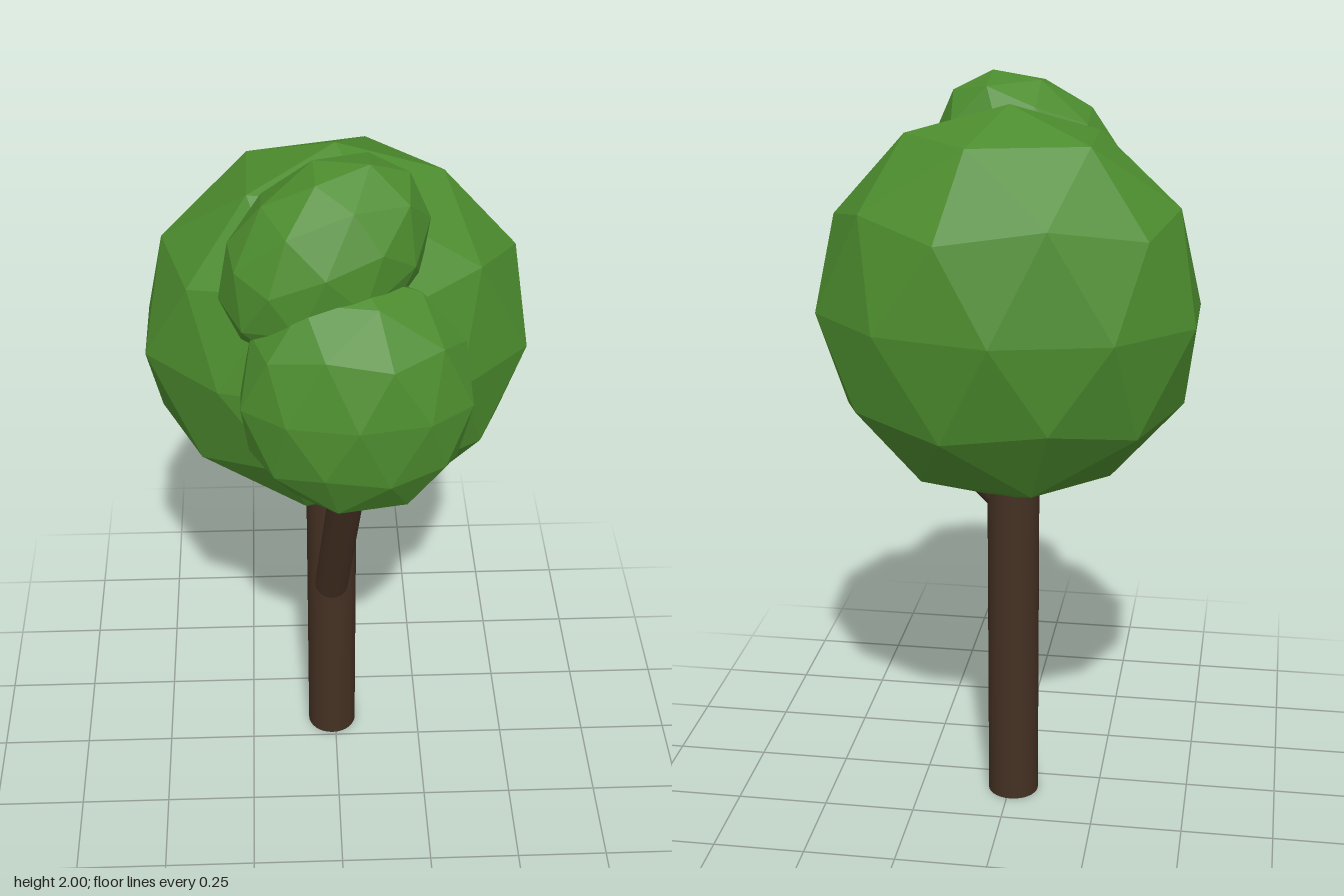
import * as THREE from 'three';

const leaf = new THREE.MeshStandardMaterial({ color: 0x4c8c2e, flatShading: true });
const bark = new THREE.MeshStandardMaterial({ color: 0x443022 });

// Faceted ellipsoid of foliage with one icosahedron corner on its vertical axis
function foliage(name, center, radii, rotation = [0, 0, 0]) {
  const geometry = new THREE.IcosahedronGeometry(1, 1);
  geometry.rotateZ(-Math.atan(2 / (1 + Math.sqrt(5))));
  geometry.scale(...radii);
  const mesh = new THREE.Mesh(geometry, leaf);
  mesh.name = name;
  mesh.position.set(...center);
  mesh.rotation.set(...rotation);
  return mesh;
}

// Round limb running between two points
function limb(name, start, end, radius) {
  const a = new THREE.Vector3(...start);
  const b = new THREE.Vector3(...end);
  const direction = b.clone().sub(a);
  const mesh = new THREE.Mesh(new THREE.CylinderGeometry(radius, radius, direction.length(), 32), bark);
  mesh.name = name;
  mesh.position.copy(a).add(b).multiplyScalar(0.5);
  mesh.quaternion.setFromUnitVectors(new THREE.Vector3(0, 1, 0), direction.normalize());
  return mesh;
}

export function createModel() {
  const tree = new THREE.Group();
  tree.name = 'tree';
  tree.add(
    // Trunk and its two branches
    limb('trunk', [-0.01, 0, -0.08], [-0.01, 1.1, -0.08], 0.07),
    limb('frontBranch', [-0.012, 0.57, -0.04], [0.033, 1.2, 0.22], 0.047),
    limb('sideBranch', [0, 0.87, -0.08], [0.2, 1.07, -0.08], 0.04),
    // Large crown with two smaller clumps
    foliage('mainCrown', [0, 1.42, -0.08], [0.515, 0.53, 0.373]),
    foliage('frontClump', [0.04, 1.43, 0.26], [0.3, 0.33, 0.195], [-0.1, 0, 0]),
    foliage('upperClump', [-0.035, 1.75, 0.135], [0.22, 0.295, 0.185], [-0.22, 0, -0.78])
  );
  return tree;
}
